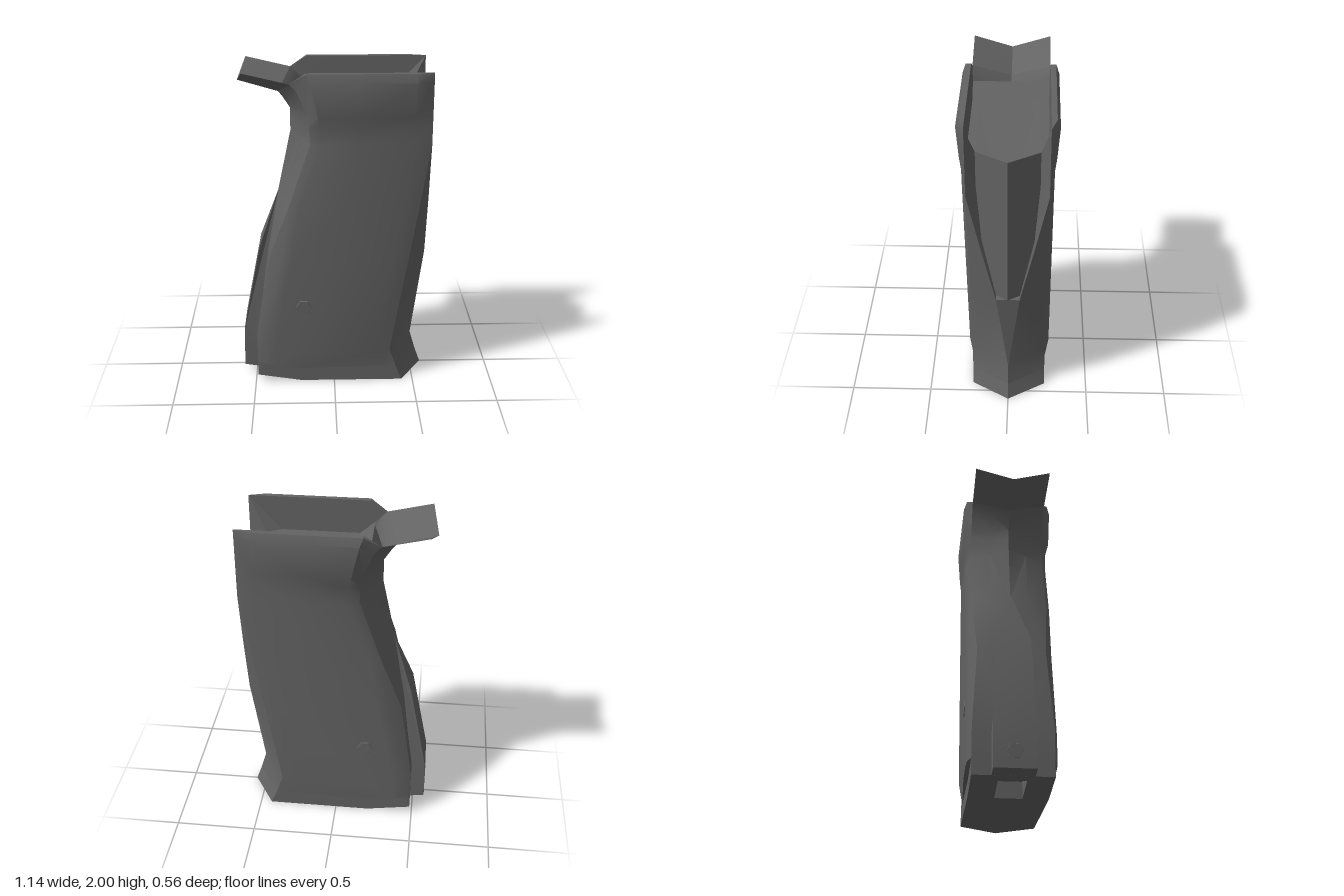
import * as THREE from 'three';
import { toCreasedNormals } from 'three/addons/utils/BufferGeometryUtils.js';

// Skin a grid of [x, y, z] points (rows run downward, columns toward +x) and mirror it across z = 0.
function mirroredSkin(rows, skip = () => false) {
  const pos = [];
  const tri = (a, b, c) => {
    pos.push(...a, ...b, ...c);
    for (const p of [a, c, b]) pos.push(p[0], p[1], -p[2]);
  };
  for (let r = 0; r < rows.length - 1; r++) {
    for (let c = 0; c < rows[r].length - 1; c++) {
      if (skip(r, c)) continue;
      const [a, b, d, e] = [rows[r][c], rows[r][c + 1], rows[r + 1][c], rows[r + 1][c + 1]];
      tri(a, d, b);
      tri(b, d, e);
    }
  }
  const g = new THREE.BufferGeometry();
  g.setAttribute('position', new THREE.Float32BufferAttribute(pos, 3));
  return toCreasedNormals(g, 0.5);
}

// Half section from back ridge to front ridge; low sections rise toward the heel.
function section({
  y, ridgeY = y, back, edge, edgeZ = .23, spine = [(back + edge) / 2, edgeZ / 2],
  pad = .06, middle = .45, panelZ = .255, frontZ = panelZ, front, nose, noseZ = 0,
}) {
  const { lerp } = THREE.MathUtils;
  const panelBack = edge + pad;
  const panelFront = front - .1;
  const slope = y > .3 ? 0 : y > .2 ? .38 : .164;
  return [
    [back, ridgeY, 0],
    [spine[0], lerp(y, ridgeY, .7), spine[1]],
    [edge, lerp(y, ridgeY, .4), edgeZ],
    [panelBack, y, panelZ],
    [lerp(panelBack, panelFront, middle), y, panelZ],
    [panelFront, y, frontZ],
    [front, y, .23],
    [nose, y, noseZ],
  ].map(([x, py, z]) => [x, py + Math.max(0, (-.21 - x) * slope), z]);
}

export function createModel() {
  const model = new THREE.Group();
  model.name = 'handGrip';
  const darkGrey = new THREE.MeshStandardMaterial({ color: 0x636363, side: THREE.DoubleSide });
  darkGrey.name = 'darkGrey';

  const add = (name, geometry) => {
    const mesh = new THREE.Mesh(geometry, darkGrey);
    mesh.name = name;
    model.add(mesh);
    return mesh;
  };

  // Outer shell: bulged rim, waist, slanted handle, ledge and foot
  const slotTop = { front: .57, nose: .57, noseZ: .23 };
  const foot = { back: -.485, spine: [-.485, .23], edge: -.43, middle: .23 };
  const body = [
    { y: 2, ridgeY: 1.84, back: -.33, edge: -.26, pad: .1, panelZ: .262, ...slotTop },
    { y: 1.95, ridgeY: 1.81, back: -.305, edge: -.22, pad: .08, panelZ: .28, ...slotTop },
    { y: 1.75, ridgeY: 1.74, back: -.26, edge: -.155, panelZ: .277, frontZ: .265, ...slotTop },
    { y: 1.68, back: -.26, edge: -.148, panelZ: .256, ...slotTop },
    { y: 1.57, ridgeY: 1.6, back: -.26, edge: -.14, ...slotTop },
    { y: 1.2, back: -.345, spine: [-.335, .11], edge: -.27, front: .512, nose: .57, noseZ: .152 },
    { y: .83, back: -.415, spine: [-.405, .2], edge: -.325, edgeZ: .245, front: .451, nose: .567, noseZ: .07 },
    { y: .22, ...foot, edgeZ: .25, front: .35, nose: .5 },
    { y: .1, ...foot, edgeZ: .25, frontZ: .23, front: .39, nose: .535 },
    { y: .097, ...foot, panelZ: .23, front: .39, nose: .536 },
    { y: 0, ...foot, panelZ: .23, front: .43, nose: .57 },
  ].map(section);
  add('gripBody', mirroredSkin(body));

  // Centre triangle joining the front ridge to the slot's lower lip
  const lip = body[6][7];
  const ridge = body[7][7];
  add('slotLip', mirroredSkin([[lip, [lip[0], lip[1], 0]], [ridge, ridge]]));

  // Base with a pocket near the back
  const sole = body[body.length - 1];
  const baseRow = (z) => sole.map(([x, y, zMax]) => [x, y, Math.min(z, zMax)]);
  add('base', mirroredSkin([sole, baseRow(.08), baseRow(0)], (r, c) => r === 1 && (c === 2 || c === 3)));
  const [heelX, heelY] = sole[2];
  const [toeX, toeY] = sole[4];
  const pocketRim = [[heelX, heelY, 0], [heelX, heelY, .08], [toeX, toeY, .08], [toeX, toeY, 0]];
  add('basePocket', mirroredSkin([
    pocketRim,
    pocketRim.map(([x, , z]) => [x, .1, z]),
    pocketRim.map(([x]) => [x, .1, 0]),
  ]));

  // Thin V-shaped tang sweeping backward
  add('tang', mirroredSkin([
    [[-.53, 2, .23], body[0][2]],
    [[-.57, 1.91, 0], body[0][0]],
  ]));

  // Upright inner faces of the two cheeks and the narrow shelf beside the floor
  const rim = body[0].slice(2, 7);
  const shelfX = [-.19, -.1, .1, .37, .46];
  const shelfY = (x) => (x < -.15 ? 1.87 : 1.79);
  add('cheekInside', mirroredSkin([
    rim,
    rim.map(([x, y, z]) => [x, y, Math.min(z, .23)]),
    shelfX.map((x) => [x, shelfY(x), x > .4 ? .18 : .225]),
    shelfX.map((x) => [x, shelfY(x), .18]),
  ]));

  // Sides of the front slot
  const jamb = [[.46, 1.79, .18], [.46, 1.57, .18], [.477, 1.2, .152], [.527, .83, .07]];
  const slotEdge = [0, 4, 5, 6].map((i) => body[i][7]);
  add('slotSides', mirroredSkin(jamb.map((inner, i) => [inner, slotEdge[i]])));

  // Core between the cheeks: wedge front, floor and raised rear step
  add('coreFront', mirroredSkin([1.79, .83].map((y) => [[.46, y, .18], [.569, y, 0]])));
  add('coreFloor', mirroredSkin([
    [[-.1, 1.79, 0], [.569, 1.78, 0]],
    [[-.1, 1.79, .18], [.46, 1.79, .18]],
  ]));
  add('coreStep', mirroredSkin([
    [[-.27, 1.76, 0], [-.19, 1.87, 0], [-.1, 1.79, 0]],
    [[-.19, 1.87, .18], [-.19, 1.87, .18], [-.1, 1.79, .18]],
  ]));

  // Raised strip down the back, tapering to a point at its top
  const profile = [[-.34, 1.22], [-.46, .88], [-.57, .32], [-.575, .06], [-.44, .038], [-.44, .32], [-.3, 1.2]];
  const strip = new THREE.ExtrudeGeometry(
    new THREE.Shape(profile.map(([x, y]) => new THREE.Vector2(x, y))),
    { depth: .24, bevelEnabled: false },
  );
  strip.translate(0, 0, -.12);
  const p = strip.attributes.position;
  for (let i = 0; i < p.count; i++) {
    p.setZ(i, p.getZ(i) * THREE.MathUtils.clamp((1.24 - p.getY(i)) / .4, .05, 1));
  }
  add('backStrip', toCreasedNormals(strip, 0.4));

  // Small hexagonal catch at the bottom of the strip
  const catchPlate = add('backCatch', toCreasedNormals(new THREE.CylinderGeometry(.045, .055, .012, 6), 0.5));
  catchPlate.rotation.z = Math.PI / 2;
  catchPlate.position.set(-.569, .16, 0);

  // Hexagonal screw head on each panel
  for (const side of [1, -1]) {
    const screw = add(side > 0 ? 'leftScrew' : 'rightScrew', toCreasedNormals(new THREE.CylinderGeometry(.046, .054, .014, 6), 0.5));
    screw.rotation.set(side * Math.PI / 2, Math.PI / 6, 0);
    screw.position.set(-.19, .535, side * .253);
  }
  return model;
}
